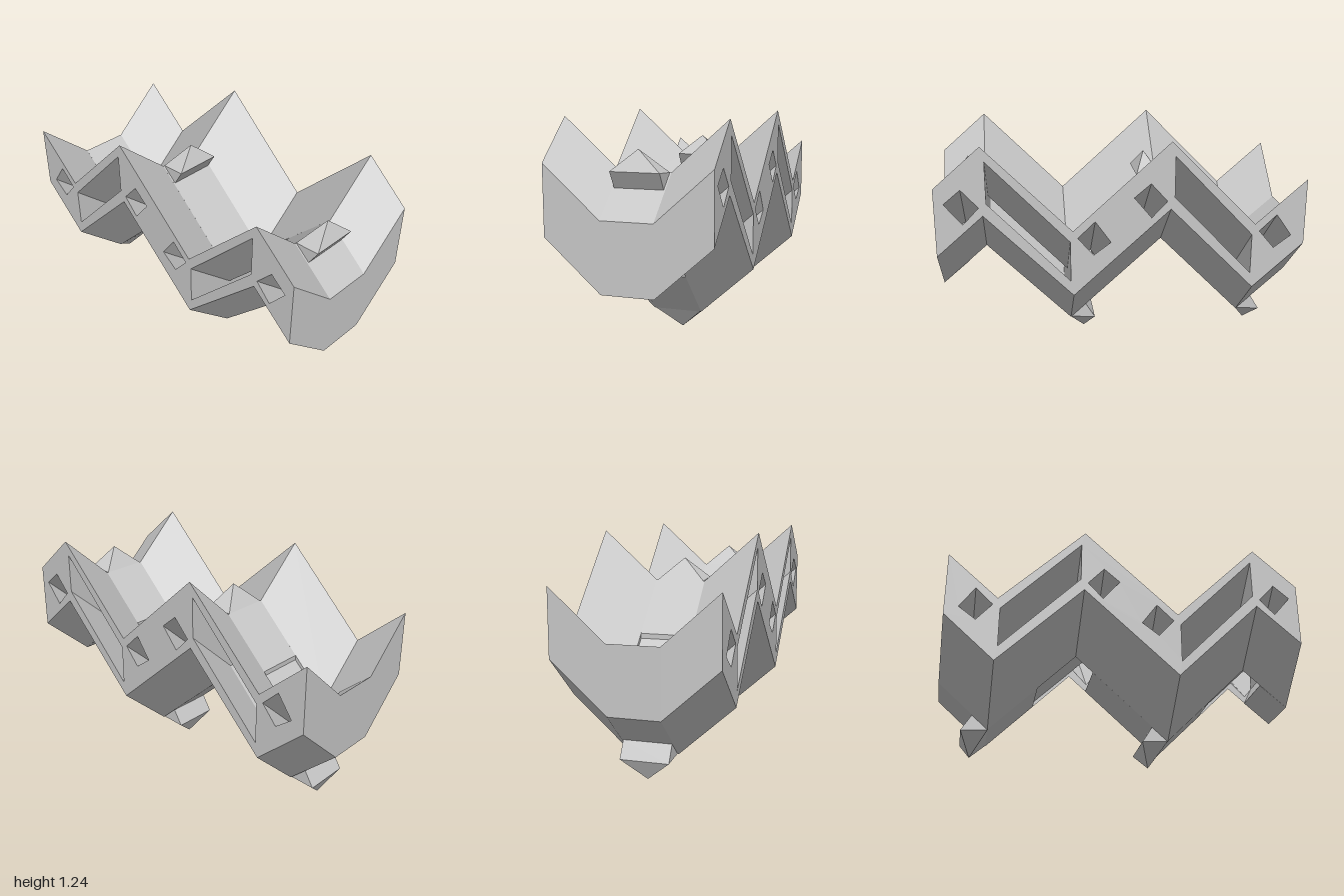
import * as THREE from 'three';
import { ConvexGeometry } from 'three/addons/geometries/ConvexGeometry.js';

const MID = 0.14, HALF = 0.442, RISE = 0.27;

export function createModel() {
  const group = new THREE.Group();
  const grey = new THREE.MeshStandardMaterial({ color: 0xc7c7c7 });
  grey.name = 'plain grey';

  const add = (geometry, name) => {
    const mesh = new THREE.Mesh(geometry, grey);
    mesh.name = name;
    group.add(mesh);
  };
  const shift = (points, dx) => points.map(([x, y]) => [x + dx, y]);
  // half turn about the middle of the central falling slope
  const turn = (points) => points.map(([x, y]) => [0.03 - x, 1.085 - y]);
  const vectors = (points) => points.map(([x, y]) => new THREE.Vector2(x, y));

  // zigzag cross-section, counter-clockwise; each valley may be replaced by an undercut socket
  const valley = [[-0.72, 0.49]];
  const socket = [[-0.82, 0.58], [-0.87, 0.48], [-0.87, 0.32], [-0.51, 0.675], [-0.51, 0.702]];
  const profile = (corner) => [
    [-1, 0.735], ...corner, [-0.25, 0.965], ...shift(corner, 1), [0.75, 0.965], [1, 0.748],
    [1, 0.378], ...turn(corner), [0.28, 0.12], ...turn(shift(corner, 1)), [-0.72, 0.12], [-1, 0.37],
  ].reverse();

  // channels running through the slab
  const slot = [[-0.705, 0.43], [-0.27, 0.885], [-0.27, 0.66], [-0.705, 0.205]];
  const lowDiamond = [[-0.84, 0.54], [-0.745, 0.45], [-0.83, 0.35], [-0.925, 0.42]];
  const highDiamond = [[-0.14, 0.74], [-0.05, 0.665], [-0.145, 0.55], [-0.23, 0.64]];

  // extrude from z0 to z1, lifting the parts beyond the flat middle strip
  function slab(corner, holes, z0, z1) {
    const shape = new THREE.Shape(vectors(profile(corner)));
    for (const hole of holes)
      for (const dx of [0, 1]) shape.holes.push(new THREE.Path(vectors(shift(hole, dx))));
    // the first pair of diamonds sits one pitch left of the second
    const geometry = new THREE.ExtrudeGeometry(shape, { depth: z1 - z0, bevelEnabled: false });
    geometry.translate(0, 0, z0);
    const p = geometry.attributes.position;
    for (let i = 0; i < p.count; i++) {
      const out = Math.max(0, Math.abs(p.getZ(i)) - MID);
      p.setY(i, p.getY(i) + (out * RISE) / (HALF - MID));
    }
    geometry.computeVertexNormals();
    return geometry;
  }

  add(slab(socket, [slot], -MID, MID), 'middleStrip');
  add(slab(valley, [slot, lowDiamond, highDiamond], MID, HALF), 'frontWing');
  add(slab(valley, [slot, lowDiamond, highDiamond], -HALF, -MID), 'backWing');

  // pointed locking hooks on the crests, and their half-turned twins below
  const base = [[-0.25, 0.965], [-0.162, 0.886], [-0.107, 0.975]];
  const tip = [[-0.164, 1.085]];
  const hook = (edge, apex) => new ConvexGeometry([
    ...edge.flatMap(([x, y]) => [-0.132, 0.132].map((z) => new THREE.Vector3(x, y, z))),
    ...apex.map(([x, y]) => new THREE.Vector3(x, y, 0)),
  ]);
  for (const dx of [0, 1]) {
    add(hook(shift(base, dx), shift(tip, dx)), 'topHook');
    add(hook(turn(shift(base, dx)), turn(shift(tip, dx))), 'bottomHook');
  }

  return group;
}
